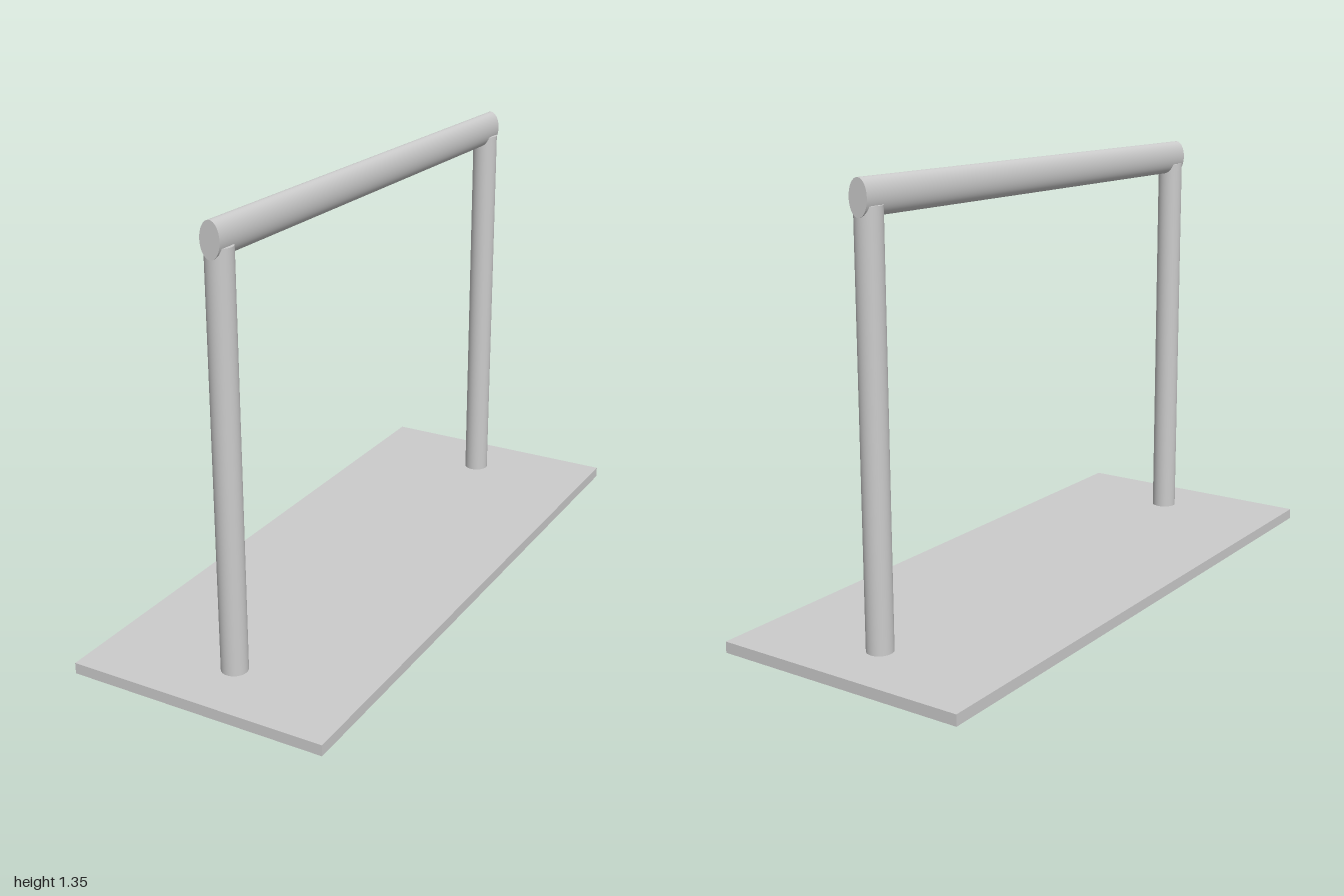
import * as THREE from 'three';

export function createModel() {
  const group = new THREE.Group();
  const material = new THREE.MeshStandardMaterial({ color: 0xcccccc });
  const offsetX = 0.006; // the frame sits slightly off the base centre line

  const add = (name, geometry, x, y, z) => {
    const mesh = new THREE.Mesh(geometry, material);
    mesh.name = name;
    mesh.position.set(x, y, z);
    group.add(mesh);
    return mesh;
  };

  // Flat base plate
  const baseTop = 0.034;
  add('basePlate', new THREE.BoxGeometry(0.82, baseTop, 2), 0, baseTop / 2, 0);

  // Two round posts, one near each end
  const postTop = 1.277;
  const postHeight = postTop - baseTop;
  for (const [name, side] of [['frontPost', 1], ['backPost', -1]]) {
    add(name, new THREE.CylinderGeometry(0.04, 0.04, postHeight, 48),
      offsetX, baseTop + postHeight / 2, side * 0.804);
  }

  // Oval handrail lying across the post tops
  const rail = new THREE.CylinderGeometry(1, 1, 1.69, 64);
  rail.rotateX(Math.PI / 2);
  rail.scale(0.031, 0.053, 1);
  add('handrail', rail, offsetX, 1.299, 0);

  return group;
}
